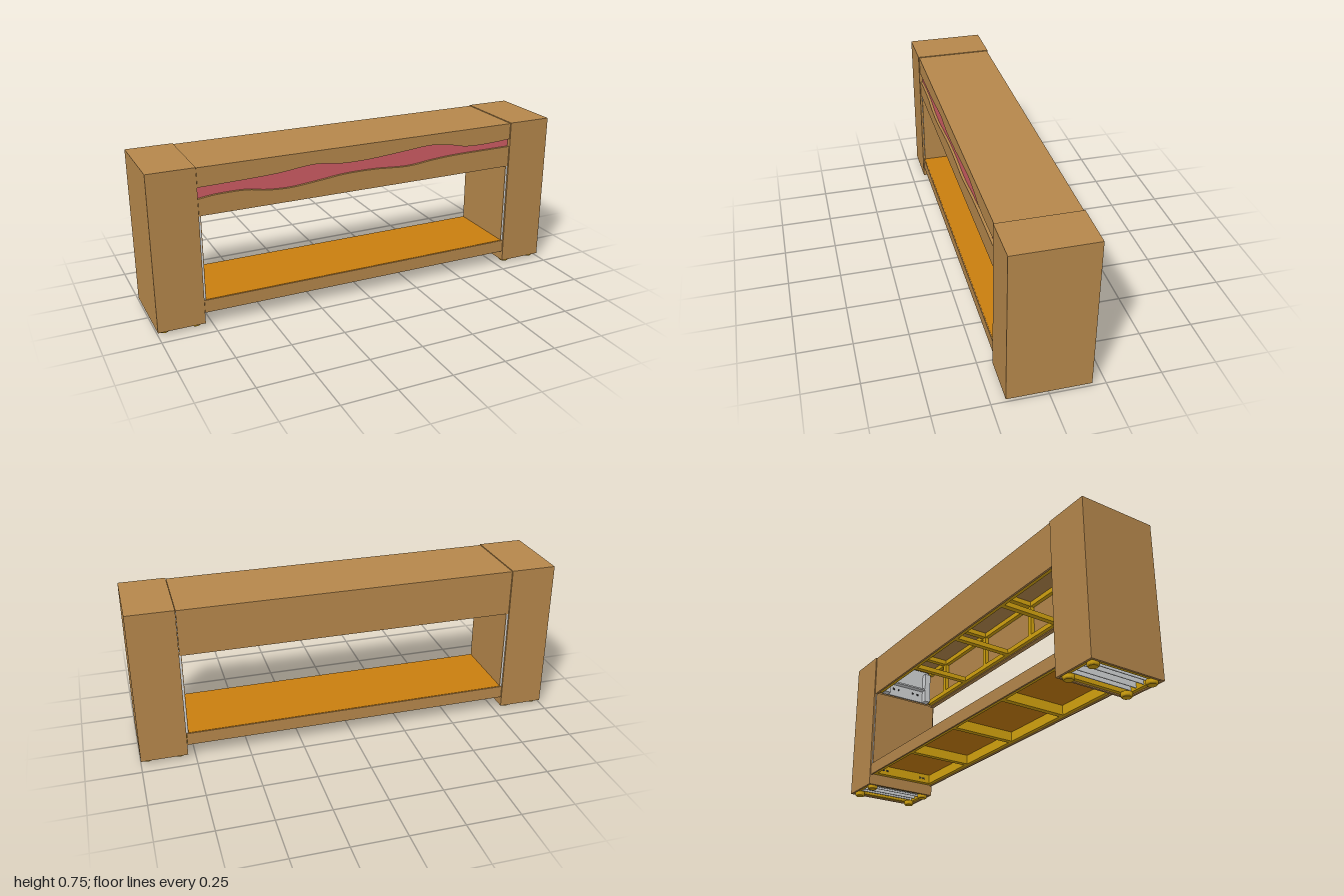
import * as THREE from 'three';

export function createModel() {
  const model = new THREE.Group();
  const mat = (name, color) => Object.assign(new THREE.MeshStandardMaterial({ color }), { name });
  const veneer = mat('wood veneer', 0xb5874b);
  const shelfWood = mat('shelf orange', 0xc97e0f);
  const timber = mat('yellow timber', 0xd3a30f);
  const inlayRed = mat('inlay red', 0xcd5c63);
  const metal = mat('pale metal', 0xd2d4d6);
  const boltDark = mat('bolt dark', 0x3a3a3a);

  // Box given by its extents on each axis
  const box = (parent, name, m, x0, x1, y0, y1, z0, z1) => {
    const mesh = new THREE.Mesh(new THREE.BoxGeometry(Math.abs(x1 - x0), y1 - y0, z1 - z0), m);
    mesh.position.set((x0 + x1) / 2, (y0 + y1) / 2, (z0 + z1) / 2);
    mesh.name = name;
    parent.add(mesh);
    return mesh;
  };
  const group = (name) => {
    const g = new THREE.Group();
    g.name = name;
    model.add(g);
    return g;
  };
  const T = 0.01; // panel thickness

  // Hollow end pillars, open underneath
  for (const s of [1, -1]) {
    const g = group(s > 0 ? 'leftPillar' : 'rightPillar');
    const b = (name, m, x0, x1, ...r) => box(g, name, m, s * x0, s * x1, ...r);
    const y0 = 0.015, y1 = 0.745, zo = 0.187;
    b('pillarTop', veneer, 0.785, 1, y1 - T, y1, -zo, zo);
    b('outerPanel', veneer, 1 - T, 1, y0, y1 - T, -zo, zo);
    b('innerPanel', veneer, 0.785, 0.785 + T, y0, y1 - T, -zo, zo);
    for (const z of [1, -1]) {
      const za = z * zo, zb = z * (zo - T);
      b('facePanel', veneer, 0.785 + T, 1 - T, y0, y1 - T, Math.min(za, zb), Math.max(za, zb));
    }
    // Lining plate with a veneered face towards the opening
    b('liningPlate', metal, 0.777, 0.785, 0.125, 0.53, -0.178, 0.178);
    b('liningFace', veneer, 0.774, 0.777, 0.125, 0.53, -0.178, 0.178);
    // Timber frames inside, bottom and top
    for (const y of [0.02, 0.69]) {
      for (const z of [-0.167, 0.167]) b('frameRail', timber, 0.796, 0.989, y, y + 0.03, z - 0.0095, z + 0.0095);
      for (const x of [0.805, 0.98]) b('frameSide', timber, x - 0.009, x + 0.009, y, y + 0.03, -0.157, 0.157);
    }
    for (const x of [0.807, 0.978]) for (const z of [-0.165, 0.165])
      b('cornerPost', timber, x - 0.01, x + 0.01, 0.05, 0.69, z - 0.01, z + 0.01);
    // Metal support: channels at the foot, post and flange
    for (const x of [0.855, 0.93]) {
      b('channelWeb', metal, x - 0.018, x + 0.018, 0.045, 0.05, -0.155, 0.155);
      for (const e of [-0.018, 0.014]) b('channelLip', metal, x + e, x + e + 0.004, 0.025, 0.045, -0.155, 0.155);
    }
    for (const z of [-0.11, 0.11]) {
      b('metalPost', metal, 0.835, 0.875, 0.05, 0.69, z - 0.018, z + 0.018);
      b('postArm', metal, 0.796, 0.95, 0.05, 0.075, z - 0.012, z + 0.012);
    }
    // Corner blocks and round feet with chamfered soles
    for (const x of [0.82, 0.966]) for (const z of [-0.15, 0.15]) {
      const profile = [[0, 0], [0.02, 0], [0.024, 0.004], [0.025, 0.008], [0.025, 0.022], [0, 0.022]];
      const foot = new THREE.Mesh(
        new THREE.LatheGeometry(profile.map(([a, c]) => new THREE.Vector2(a, c)), 20).toNonIndexed(), timber);
      foot.geometry.computeVertexNormals();
      foot.position.set(s * x, 0, z);
      foot.name = 'foot';
      g.add(foot);
    }
  }

  // Upper beam: a hollow box, open underneath
  const beam = group('upperBeam');
  const L = 0.783, Z = 0.183, B0 = 0.525, B1 = 0.742;
  box(beam, 'beamTop', veneer, -L, L, B1 - T, B1, -Z, Z);
  box(beam, 'beamBack', veneer, -L, L, B0, B1 - T, -Z, -Z + T);
  box(beam, 'frontBacking', veneer, -L, L, B0, B1 - T, 0.16, 0.168);
  box(beam, 'redInlay', inlayRed, -L + 0.002, L - 0.002, 0.57, 0.71, 0.168, 0.171);

  // Front skin in two parts whose wavy edges frame the recessed inlay
  const upperEdge = [[-L, 0.654], [-0.6, 0.658], [-0.42, 0.665], [-0.25, 0.681], [-0.12, 0.667], [0.02, 0.667],
    [0.2, 0.68], [0.34, 0.69], [0.45, 0.677], [0.54, 0.659], [0.66, 0.657], [L, 0.664]];
  const lowerEdge = [[-L, 0.602], [-0.7, 0.611], [-0.57, 0.611], [-0.47, 0.595], [-0.36, 0.59], [-0.22, 0.602],
    [-0.1, 0.614], [0.05, 0.615], [0.22, 0.605], [0.36, 0.617], [0.5, 0.624], [L, 0.626]];
  const skin = (name, edge, y) => {
    const shape = new THREE.Shape();
    shape.moveTo(-L, y);
    shape.lineTo(...edge[0]);
    shape.splineThru(edge.slice(1).map(([a, c]) => new THREE.Vector2(a, c)));
    shape.lineTo(L, y);
    const geo = new THREE.ExtrudeGeometry(shape, { depth: 0.015, bevelEnabled: false, curveSegments: 48 });
    const mesh = new THREE.Mesh(geo, veneer);
    mesh.position.z = Z - 0.015;
    mesh.name = name;
    beam.add(mesh);
  };
  skin('frontSkinUpper', upperEdge, B1 - T);
  skin('frontSkinLower', lowerEdge, B0);

  // Timber frame in the beam
  for (const z of [-0.163, 0.149]) {
    for (const y of [0.53, 0.707]) box(beam, 'beamRail', timber, -0.76, 0.76, y, y + 0.024, z - 0.01, z + 0.01);
    for (const x of [-0.59, -0.197, 0.197, 0.59])
      box(beam, 'beamStud', timber, x - 0.012, x + 0.012, 0.554, 0.707, z - 0.01, z + 0.01);
  }
  for (const x of [-0.39, 0, 0.39])
    box(beam, 'lowerCrossbar', timber, x - 0.013, x + 0.013, 0.53, 0.554, -0.153, 0.139);
  for (const x of [-0.59, -0.197, 0.197, 0.59])
    box(beam, 'upperCrossbar', timber, x - 0.013, x + 0.013, 0.707, 0.731, -0.153, 0.139);

  // Bolted metal brackets closing the ends of the beam
  for (const s of [1, -1]) {
    box(beam, 'endPlate', metal, s * 0.766, s * 0.774, 0.535, 0.725, -0.15, 0.137);
    for (const z of [-0.13, 0.117])
      box(beam, 'endChannel', metal, s * 0.735, s * 0.766, 0.535, 0.7, z - 0.016, z + 0.016);
    box(beam, 'endAngle', metal, s * 0.735, s * 0.766, 0.6, 0.608, -0.114, 0.101);
    for (const z of [-0.08, -0.05, 0.04, 0.07])
      box(beam, 'bolt', boltDark, s * 0.762, s * 0.766, 0.57, 0.58, z - 0.005, z + 0.005);
  }

  // Lower shelf: orange board on a timber frame behind veneered aprons
  const shelf = group('lowerShelf');
  const S0 = 0.065, S1 = 0.125;
  box(shelf, 'shelfBoard', shelfWood, -0.774, 0.774, 0.116, 0.127, -0.179, 0.179);
  for (const z of [-1, 1]) {
    const mid = z * (Z - 0.004);
    box(shelf, 'apron', veneer, -L, L, S0, S1, mid - 0.004, mid + 0.004);
    box(shelf, 'shelfRail', timber, -L, L, S0 + 0.005, 0.116, z * 0.165 - 0.01, z * 0.165 + 0.01);
  }
  for (const x of [-0.77, -0.39, 0, 0.39, 0.77])
    box(shelf, 'shelfCrossbar', timber, x - 0.013, x + 0.013, S0 + 0.005, 0.116, -0.155, 0.155);
  for (const s of [1, -1]) for (const z of [-0.12, -0.1, 0.1, 0.12])
    box(shelf, 'bolt', boltDark, s * 0.754, s * 0.757, 0.088, 0.097, z - 0.005, z + 0.005);

  return model;
}
